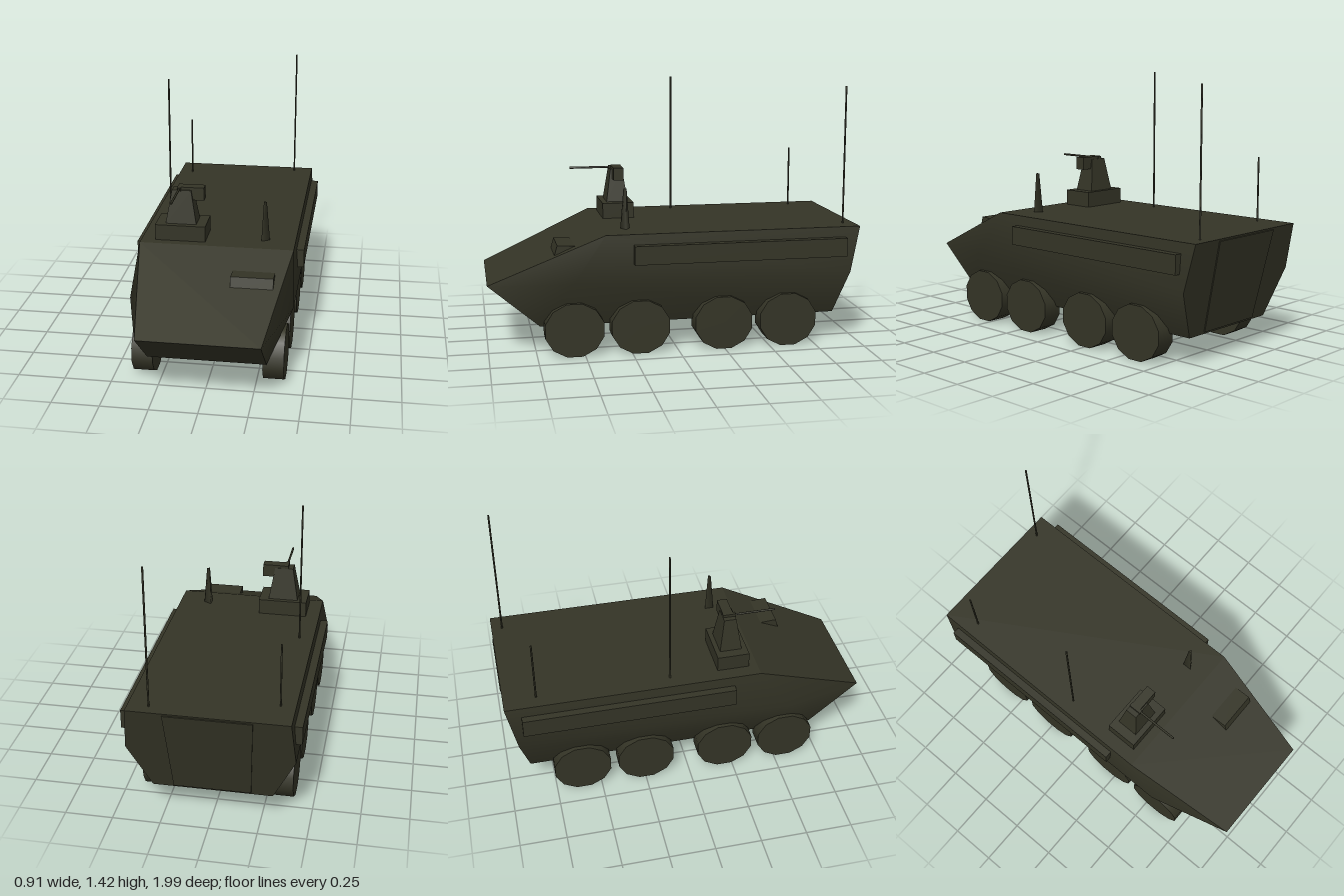
import * as THREE from 'three';

const olive = new THREE.MeshStandardMaterial({ color: 0x34342a });
olive.name = 'dark olive paint';
olive.color.set(0x343426);

function add(parent, name, geometry, x = 0, y = 0, z = 0) {
  const mesh = new THREE.Mesh(geometry, olive);
  mesh.name = name;
  mesh.position.set(x, y, z);
  parent.add(mesh);
  return mesh;
}

// Polygons given as corner lists, fanned into triangles; shared corners give smooth normals
function polygons(points, faces, smooth) {
  const index = [];
  for (const f of faces)
    for (let i = 1; i < f.length - 1; i++) index.push(f[0], f[i], f[i + 1]);
  let geo = new THREE.BufferGeometry();
  geo.setAttribute('position', new THREE.Float32BufferAttribute(points.flat(), 3));
  geo.setIndex(index);
  if (!smooth) geo = geo.toNonIndexed();
  geo.computeVertexNormals();
  return geo;
}

// Box whose top is narrowed by the given factors
function taperedBox(w, h, d, topX, topZ) {
  const geo = new THREE.BoxGeometry(w, h, d);
  const p = geo.attributes.position;
  for (let i = 0; i < p.count; i++)
    if (p.getY(i) > 0) p.setXYZ(i, p.getX(i) * topX, p.getY(i), p.getZ(i) * topZ);
  geo.computeVertexNormals();
  return geo;
}

function buildHull(group) {
  // Left half outline: roof front/rear, waist front/rear, floor front/rear, nose
  const left = [
    [0.41, 0.645, 0.39], [0.41, 0.645, -0.99],
    [0.43, 0.40, 0.56], [0.43, 0.40, -0.935],
    [0.31, 0.15, 0.73], [0.31, 0.15, -0.88],
    [0.31, 0.38, 1.0],
  ];
  const right = left.map(([x, y, z]) => [-x, y, z]);
  const sideFaces = [[0, 2, 3, 1], [2, 4, 5, 3], [6, 2, 0], [6, 4, 2]];
  add(group, 'hullSideLeft', polygons(left, sideFaces, true));
  add(group, 'hullSideRight', polygons(right, sideFaces.map(f => [...f].reverse()), true));
  // Roof, sloped front, lower front, floor and rear (right corners are offset by 7)
  add(group, 'hullPlates', polygons([...left, ...right], [
    [0, 1, 8, 7], [6, 0, 7, 13], [4, 6, 13, 11], [5, 4, 11, 12], [1, 3, 5, 12, 10, 8],
  ], false));
}

export function createModel() {
  const model = new THREE.Group();
  model.name = 'armouredCarrier';

  const hull = new THREE.Group();
  hull.name = 'hull';
  model.add(hull);
  buildHull(hull);

  // Rear ramp, lying on the sloped back
  const ramp = taperedBox(0.40, 0.485, 0.008, 1.12, 1);
  add(hull, 'rearRamp', ramp, 0, 0.398, -0.937).rotation.x = -Math.atan2(0.11, 0.495);

  // Side stowage boxes and wheels
  const wheelGeo = new THREE.CylinderGeometry(0.16, 0.16, 0.11, 12).rotateZ(Math.PI / 2);
  wheelGeo.rotateX(Math.PI / 12).scale(1, 0.92, 1);
  for (const [side, s] of [['Left', 1], ['Right', -1]]) {
    add(model, 'stowageBox' + side, new THREE.BoxGeometry(0.065, 0.10, 1.15), s * 0.4225, 0.54, -0.33);
    [0.555, 0.205, -0.245, -0.60].forEach((z, i) =>
      add(model, 'wheel' + side + (i + 1), wheelGeo, s * 0.342, 0.142, z));
  }

  // Driver's hatch: side profile extruded across
  const profile = new THREE.Shape([
    new THREE.Vector2(0.655, 0.515), new THREE.Vector2(0.635, 0.585),
    new THREE.Vector2(0.53, 0.578), new THREE.Vector2(0.53, 0.515),
  ]);
  const hatch = new THREE.ExtrudeGeometry(profile, { depth: 0.22, bevelEnabled: false });
  add(model, 'driverHatch', hatch.rotateY(-Math.PI / 2), 0.33, 0, 0);

  // Weapon station
  const station = new THREE.Group();
  station.name = 'weaponStation';
  model.add(station);
  add(station, 'stationBase', new THREE.BoxGeometry(0.27, 0.085, 0.175), -0.2, 0.6875, 0.255);
  add(station, 'stationPedestal', taperedBox(0.165, 0.18, 0.12, 0.62, 0.55), -0.2, 0.82, 0.253);
  add(station, 'sightBox', new THREE.BoxGeometry(0.14, 0.07, 0.055), -0.15, 0.89, 0.25);
  add(station, 'gunBody', new THREE.BoxGeometry(0.02, 0.02, 0.07), -0.213, 0.915, 0.255);
  add(station, 'gunBarrel', new THREE.CylinderGeometry(0.006, 0.006, 0.26, 6).rotateX(Math.PI / 2), -0.213, 0.915, 0.38);

  // Three-sided roof mast
  const mast = new THREE.CylinderGeometry(0.01, 0.029, 0.215, 3).rotateY(Math.PI / 2);
  add(model, 'roofMast', mast, 0.243, 0.7525, 0.263);

  // Whip antennas
  [[-0.333, -0.095, 1.415], [0.302, -0.93, 1.39], [-0.333, -0.815, 0.985]].forEach(([x, z, top], i) => {
    const h = top - 0.64;
    add(model, 'antenna' + (i + 1), new THREE.CylinderGeometry(0.005, 0.005, h, 6), x, 0.64 + h / 2, z);
  });

  return model;
}
